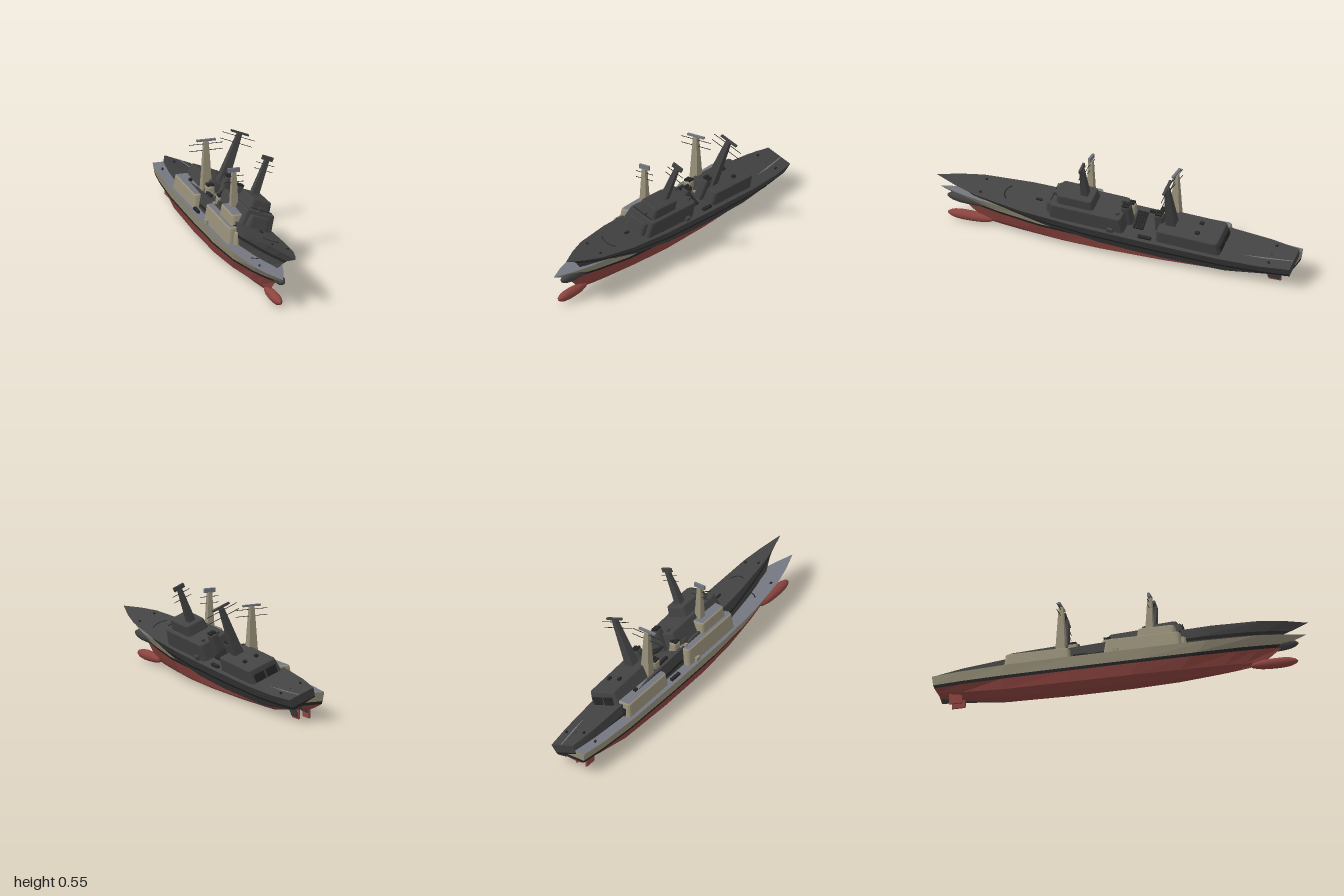
import * as THREE from 'three';

const mat = (name, color) => Object.assign(new THREE.MeshStandardMaterial({ color }), { name });

// hull waterlines from keel to deck: bow z, stern z, half widths and heights from bow to stern
const T = [0, 0.06, 0.12, 0.25, 0.4, 0.6, 0.8, 0.92, 1];
const ROWS = [
  { z: [0.74, -0.96], w: [0, 0.005, 0.01, 0.025, 0.036, 0.036, 0.03, 0.015, 0.01], y: [0.03, 0.02, 0.012, 0.002, 0, 0, 0.005, 0.035, 0.06] },
  { z: [0.78, -0.97], w: [0, 0.018, 0.036, 0.064, 0.082, 0.085, 0.078, 0.056, 0.036], y: [0.05, 0.045, 0.04, 0.03, 0.025, 0.025, 0.03, 0.05, 0.07] },
  { z: [0.87, -0.98], w: [0, 0.028, 0.05, 0.084, 0.099, 0.101, 0.096, 0.082, 0.065], y: [0.122, 0.113, 0.105, 0.091, 0.084, 0.082, 0.082, 0.084, 0.086] },
  { z: [0.9, -0.985], w: [0, 0.031, 0.055, 0.089, 0.103, 0.105, 0.1, 0.086, 0.068], y: [0.14, 0.13, 0.122, 0.107, 0.1, 0.098, 0.098, 0.1, 0.102] },
  { z: [1, -0.99], w: [0, 0.042, 0.072, 0.102, 0.113, 0.115, 0.111, 0.097, 0.075], y: [0.178, 0.175, 0.172, 0.163, 0.157, 0.155, 0.152, 0.15, 0.15] },
];
const point = (row, i, side) => [side * row.w[i], row.y[i], row.z[0] + (row.z[1] - row.z[0]) * T[i]];

function quadGeometry(quads) {
  const pos = [];
  for (const [a, b, c, d] of quads) pos.push(...a, ...b, ...c, ...a, ...c, ...d);
  const g = new THREE.BufferGeometry();
  g.setAttribute('position', new THREE.Float32BufferAttribute(pos, 3));
  g.computeVertexNormals();
  return g;
}

// both sides and the transom between two waterlines
function band(lo, hi) {
  const quads = [], n = T.length - 1;
  for (let i = 0; i < n; i++) {
    quads.push([point(lo, i, 1), point(lo, i + 1, 1), point(hi, i + 1, 1), point(hi, i, 1)]);
    quads.push([point(hi, i, -1), point(hi, i + 1, -1), point(lo, i + 1, -1), point(lo, i, -1)]);
  }
  quads.push([point(lo, n, 1), point(lo, n, -1), point(hi, n, -1), point(hi, n, 1)]);
  return quads;
}

// flat strip across one waterline, facing up or down
function across(row, up) {
  const quads = [];
  for (let i = 0; i < T.length - 1; i++) {
    const q = [point(row, i, 1), point(row, i + 1, 1), point(row, i + 1, -1), point(row, i, -1)];
    quads.push(up ? q : q.reverse());
  }
  return quads;
}

// deckhouse with rounded corners, bevelled roof and inward sloping walls
function houseGeometry(w, l, h, taper, r = 0.015) {
  const b = 0.006, x = w / 2 - b, y = l / 2 - b;
  const s = new THREE.Shape();
  s.moveTo(-x + r, -y);
  s.lineTo(x - r, -y).quadraticCurveTo(x, -y, x, -y + r);
  s.lineTo(x, y - r).quadraticCurveTo(x, y, x - r, y);
  s.lineTo(-x + r, y).quadraticCurveTo(-x, y, -x, y - r);
  s.lineTo(-x, -y + r).quadraticCurveTo(-x, -y, -x + r, -y);
  const g = new THREE.ExtrudeGeometry(s, { depth: h - b, bevelSize: b, bevelThickness: b, bevelSegments: 2, curveSegments: 3 });
  g.rotateX(-Math.PI / 2);
  const p = g.attributes.position;
  for (let i = 0; i < p.count; i++) {
    const k = taper * Math.max(0, p.getY(i)) / h;
    p.setX(i, p.getX(i) - Math.sign(p.getX(i)) * Math.min(k, Math.abs(p.getX(i))));
    p.setZ(i, p.getZ(i) - Math.sign(p.getZ(i)) * Math.min(k, Math.abs(p.getZ(i))));
  }
  g.computeVertexNormals();
  return g;
}

function buildShip(name, m) {
  const ship = new THREE.Group();
  ship.name = name;
  const add = (n, geo, material, x = 0, y = 0, z = 0) => {
    const mesh = new THREE.Mesh(geo, material);
    mesh.name = n;
    mesh.position.set(x, y, z);
    ship.add(mesh);
    return mesh;
  };
  const box = (n, w, h, l, material, x, y, z) => add(n, new THREE.BoxGeometry(w, h, l), material, x, y, z);

  // hull
  add('lowerHull', quadGeometry([...across(ROWS[0], false), ...band(ROWS[0], ROWS[1]), ...band(ROWS[1], ROWS[2])]), m.bottom);
  add('waterlineStripe', quadGeometry(band(ROWS[2], ROWS[3])), m.black);
  add('upperHull', quadGeometry(band(ROWS[3], ROWS[4])), m.paint);
  add('deck', quadGeometry(across(ROWS[4], true)), m.deck);

  // bow bulb
  const bulb = [[0, -0.13], [0.014, -0.11], [0.024, -0.06], [0.027, 0], [0.027, 0.05], [0.023, 0.09], [0.014, 0.118], [0.006, 0.128], [0, 0.132]];
  add('bowBulb', new THREE.LatheGeometry(bulb.map(([r, y]) => new THREE.Vector2(r, y)), 16), m.bottom, 0, 0.035, 0.825).rotation.x = Math.PI / 2;

  // deckhouses
  const house = (n, w, l, h, taper, y, z) => add(n, houseGeometry(w, l, h, taper), [m.deck, m.paint], 0, y, z);
  house('foreDeckhouse', 0.188, 0.42, 0.095, 0.012, 0.15, 0.14);
  house('bridge', 0.125, 0.21, 0.058, 0.008, 0.242, 0.205);
  house('aftDeckhouse', 0.184, 0.36, 0.075, 0.01, 0.15, -0.425);
  house('lowBridgeFront', 0.13, 0.06, 0.075, 0.01, 0.15, 0.345);

  // funnels with black caps
  for (const [z, h] of [[-0.065, 0.125], [-0.25, 0.12]]) {
    add('funnel', houseGeometry(0.052, 0.06, h, 0.005, 0.008), m.paint, 0, 0.15, z);
    for (const x of [-0.01, 0.01]) box('funnelCap', 0.014, 0.012, 0.036, m.black, x, 0.15 + h + 0.006, z);
  }

  // masts with yards
  const mast = (n, y0, y1, bottom, top, z) =>
    add(n, new THREE.CylinderGeometry(top * 1.414, bottom * 1.414, y1 - y0, 4).rotateY(Math.PI / 4).toNonIndexed(), m.paint, 0, (y0 + y1) / 2, z)
      .geometry.computeVertexNormals();
  mast('foreMast', 0.295, 0.485, 0.02, 0.011, 0.16);
  mast('aftMast', 0.22, 0.492, 0.027, 0.012, -0.315);
  box('foreRadar', 0.062, 0.023, 0.012, m.deck, 0, 0.496, 0.16);
  box('aftRadar', 0.102, 0.01, 0.014, m.deck, 0, 0.498, -0.315);
  for (const [y, half, z] of [[0.463, 0.053, 0.16], [0.43, 0.053, 0.16], [0.478, 0.092, -0.315], [0.443, 0.092, -0.315]])
    box('yard', half * 2, 0.0025, 0.0025, m.black, 0, y, z);

  // launcher ahead of the bridge
  box('launcher', 0.024, 0.022, 0.025, m.paint, 0, 0.254, 0.322);
  box('launcherBar', 0.12, 0.003, 0.004, m.black, 0, 0.256, 0.335);

  // midship tubes, boats and vents
  for (let i = 0; i < 4; i++) {
    const tube = add('launchTube', new THREE.CylinderGeometry(0.007, 0.007, 0.1, 8), m.black, 0, 0.185, -0.115 - i * 0.015);
    tube.rotation.z = 1.25;
  }
  for (const s of [-1, 1]) {
    box('boat', 0.016, 0.014, 0.07, m.black, s * 0.09, 0.165, -0.19);
    box('sideLocker', 0.02, 0.025, 0.03, m.paint, s * 0.095, 0.166, 0.0);
    box('deckVent', 0.014, 0.014, 0.018, m.paint, s * 0.045, 0.252, -0.03);
    box('roofVent', 0.016, 0.014, 0.022, m.black, s * 0.035, 0.23, -0.47);
    box('hangarDoor', 0.06, 0.045, 0.006, m.black, s * 0.036, 0.175, -0.603);
    box('bollard', 0.008, 0.01, 0.012, m.black, s * 0.045, 0.173, 0.74);
    box('bollard', 0.008, 0.01, 0.012, m.black, s * 0.06, 0.155, -0.87);
    box('rudder', 0.01, 0.06, 0.07, m.bottom, s * 0.03, 0.032, -0.875);
  }

  // foredeck breakwater and hatch
  const breakwater = add('breakwater', new THREE.TorusGeometry(0.055, 0.004, 4, 10, Math.PI * 0.6), m.black, 0, 0.166, 0.565);
  breakwater.rotation.set(Math.PI / 2, 0, Math.PI * 0.2);
  box('foredeckHatch', 0.012, 0.008, 0.035, m.black, 0, 0.165, 0.43);
  return ship;
}

export function createModel() {
  const black = mat('black', 0x272727), dark = mat('darkGrey', 0x424242);
  const group = new THREE.Group();
  group.name = 'twinWarships';

  // upright painted ship
  const painted = buildShip('paintedShip', {
    paint: mat('beige', 0x968f78), deck: mat('deckGrey', 0x747680), bottom: mat('hullRed', 0x8c443f), black,
  });
  painted.position.x = -0.076;

  // dark ship, heeled over and bow up
  const heeled = buildShip('darkShip', { paint: dark, deck: dark, bottom: dark, black });
  heeled.rotation.set(-0.054, -0.021, -0.384, 'YZX');
  heeled.position.set(-0.072, 0.064, 0);

  group.add(painted, heeled);
  return group;
}
